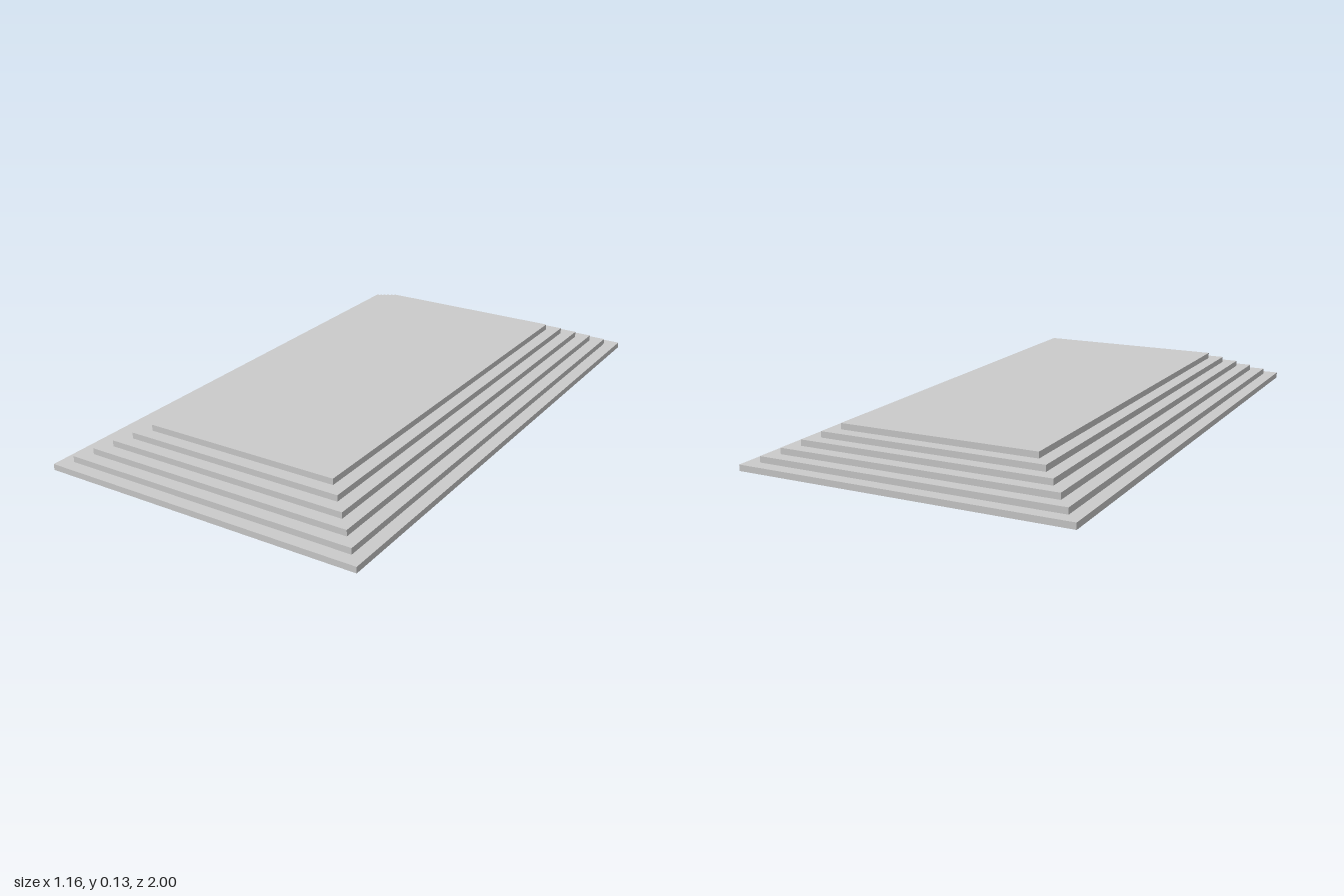
import * as THREE from 'three';

const STEPS = 6;
const RISE = 0.0212;   // height of one step
const TREAD = 0.0454;  // inset of each step on every side
const HALF_WIDTH = 0.58;
const HALF_DEPTH = 1;

export function createModel() {
  const model = new THREE.Group();
  model.name = 'steppedPlatform';
  const material = new THREE.MeshStandardMaterial({ color: 0xcccccc });

  // Stacked slabs, each inset evenly from the one below
  for (let i = 0; i < STEPS; i++) {
    const width = 2 * (HALF_WIDTH - i * TREAD);
    const depth = 2 * (HALF_DEPTH - i * TREAD);
    const slab = new THREE.Mesh(new THREE.BoxGeometry(width, RISE, depth), material);
    slab.position.y = (i + 0.5) * RISE;
    slab.name = i === STEPS - 1 ? 'topSlab' : `step${i + 1}`;
    model.add(slab);
  }
  return model;
}
